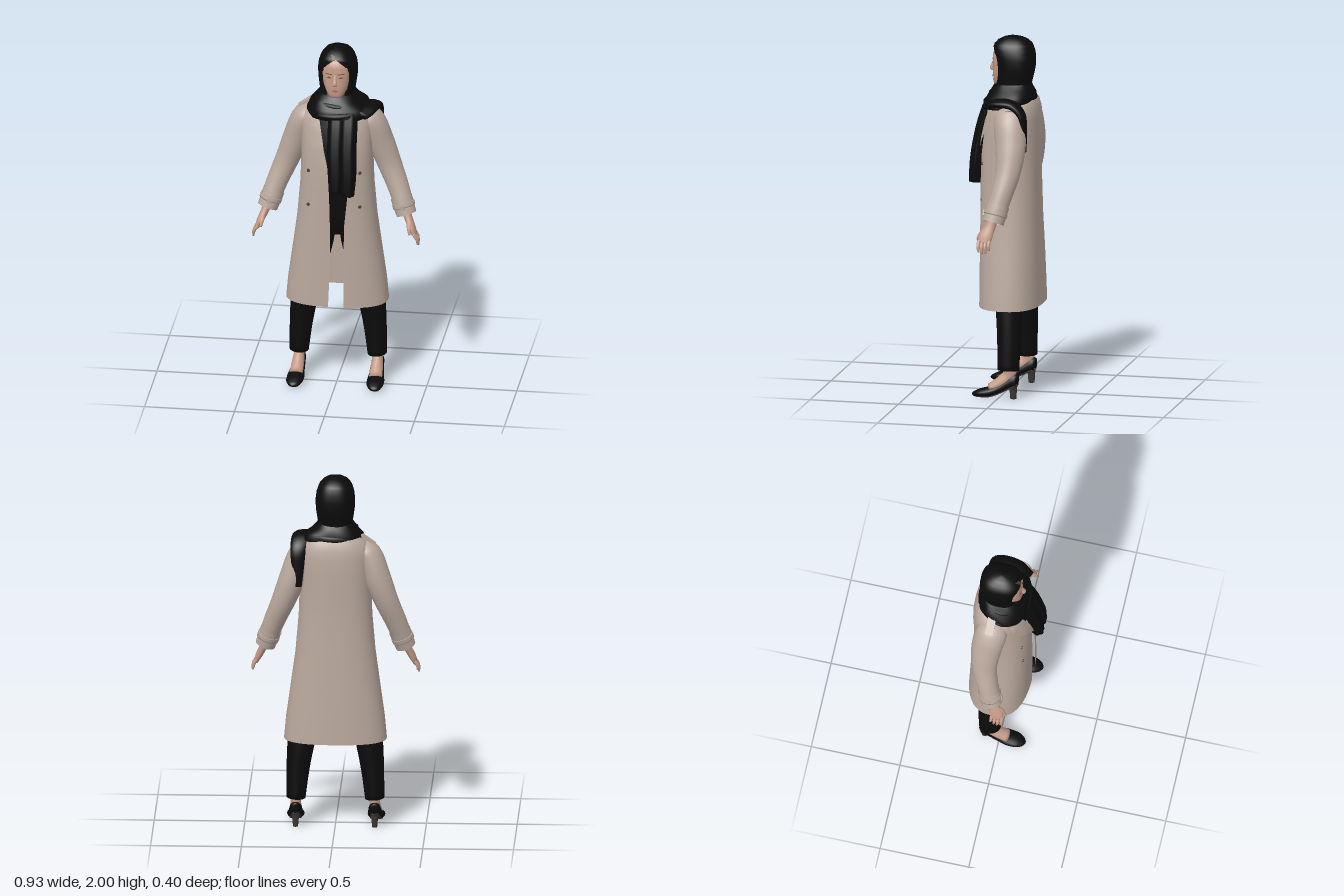
import * as THREE from 'three';
import { mergeVertices } from 'three/addons/utils/BufferGeometryUtils.js';

const P = 0.8; // roundness of the boxy oval sections
const X = new THREE.Vector3(1, 0, 0), Y = new THREE.Vector3(0, 1, 0), Z = new THREE.Vector3(0, 0, 1);
const spow = (v, p) => Math.sign(v) * Math.pow(Math.abs(v), p);

function makeGeo(pos, idx) {
  let g = new THREE.BufferGeometry();
  g.setAttribute('position', new THREE.Float32BufferAttribute(pos, 3));
  g.setIndex(idx);
  g = mergeVertices(g, 1e-5);
  g.computeVertexNormals();
  return g;
}

// Upright shell from rows [y, halfWidth, zFront, zBack, leftEdgeX, rightEdgeX, centreX]; edges leave the front open
function shell(rows, { seg = 48, tilt = 0, fold = () => 1 } = {}) {
  const pos = [], idx = [];
  rows.forEach(([y, w, zf, zb, xl, xr, cx = 0]) => {
    const open = xl !== undefined;
    const a0 = open ? Math.asin(spow(xl / w, 1 / P)) : -Math.PI;
    const a1 = open ? 2 * Math.PI + Math.asin(spow(xr / w, 1 / P)) : Math.PI;
    for (let j = 0; j <= seg; j++) {
      const a = a0 + (a1 - a0) * j / seg, k = fold(a, y);
      const z = (zf + zb) / 2 + (zf - zb) / 2 * spow(Math.cos(a), P) * k;
      pos.push(cx + w * spow(Math.sin(a), P) * k, y + tilt * z, z);
    }
  });
  for (let i = 0; i < rows.length - 1; i++) for (let j = 0; j < seg; j++) {
    const a = i * (seg + 1) + j, c = a + seg + 1;
    idx.push(a, a + 1, c, a + 1, c + 1, c);
  }
  return makeGeo(pos, idx);
}

// Front surface depth of a shell at (x, y)
function frontZ(rows, x, y) {
  let i = 0;
  while (i < rows.length - 2 && rows[i + 1][0] < y) i++;
  const t = THREE.MathUtils.clamp((y - rows[i][0]) / (rows[i + 1][0] - rows[i][0]), 0, 1);
  const [w, zf, zb] = [1, 2, 3].map(k => THREE.MathUtils.lerp(rows[i][k], rows[i + 1][k], t));
  const s = Math.pow(Math.min(1, Math.abs(x) / w), 1 / P);
  return (zf + zb) / 2 + (zf - zb) / 2 * Math.pow(1 - s * s, P / 2);
}

// Four-cornered cloth patch laid on the front of a shell
function patch(rows, q, off = 0.006, n = 8) {
  const pos = [], idx = [], mix = THREE.MathUtils.lerp;
  for (let i = 0; i <= n; i++) for (let j = 0; j <= n; j++) {
    const [x, y] = [0, 1].map(k => mix(mix(q[0][k], q[1][k], i / n), mix(q[3][k], q[2][k], i / n), j / n));
    pos.push(x, y, frontZ(rows, x, y) + off);
    if (i < n && j < n) {
      const a = i * (n + 1) + j, c = a + n + 1;
      idx.push(a, c, a + 1, a + 1, c, c + 1);
    }
  }
  return makeGeo(pos, idx);
}

// Smooth limb through rows [x, y, z, radiusSide, radiusRef]
function loft(rows, { ref = Z, seg = 20, steps = 5, cap = true, fold = () => 1 } = {}) {
  const path = new THREE.CatmullRomCurve3(rows.map(r => new THREE.Vector3(r[0], r[1], r[2])));
  const rad = new THREE.CatmullRomCurve3(rows.map(r => new THREE.Vector3(r[3], r[4], 0)), false, 'catmullrom', 0.5);
  const n = (rows.length - 1) * steps, pos = [], idx = [];
  for (let i = 0; i <= n; i++) {
    const c = path.getPoint(i / n), r = rad.getPoint(i / n), t = path.getTangent(i / n);
    const s = new THREE.Vector3().crossVectors(t, ref).normalize(), f = new THREE.Vector3().crossVectors(s, t);
    for (let j = 0; j < seg; j++) {
      const a = j / seg * Math.PI * 2, k = fold(a);
      const p = c.clone().addScaledVector(s, r.x * k * Math.cos(a)).addScaledVector(f, r.y * k * Math.sin(a));
      pos.push(p.x, p.y, p.z);
      const j2 = (j + 1) % seg, A = i * seg;
      if (i < n) idx.push(A + j, A + seg + j, A + j2, A + j2, A + seg + j, A + seg + j2);
    }
  }
  if (cap) for (const [i, flip] of [[0, 0], [n, 1]]) {
    const c = path.getPoint(i / n), m = pos.length / 3, A = i * seg;
    pos.push(c.x, c.y, c.z);
    for (let j = 0; j < seg; j++) {
      const a = A + j, b = A + (j + 1) % seg;
      if (flip) idx.push(m, b, a); else idx.push(m, a, b);
    }
  }
  return makeGeo(pos, idx);
}

export function createModel() {
  const model = new THREE.Group();
  const mat = (name, color, side = THREE.FrontSide) =>
    Object.assign(new THREE.MeshStandardMaterial({ color, side }), { name });
  const coat = mat('coat beige', 0xb9a89d, THREE.DoubleSide), black = mat('black cloth', 0x0b0b0b, THREE.DoubleSide);
  const skin = mat('skin', 0xc39a86), sole = mat('sole grey', 0x3b3635), button = mat('button brown', 0x4a403a);
  const brow = mat('brow brown', 0x7d5a4d, THREE.DoubleSide), lip = mat('lip rose', 0xa8746a, THREE.DoubleSide);
  const hair = mat('hair grey', 0x453f3c, THREE.DoubleSide);
  const add = (name, geo, m) => {
    const o = new THREE.Mesh(geo, m);
    o.name = name;
    model.add(o);
    return o;
  };

  // Long open coat
  const coatRows = [
    [0.50, 0.283, 0.14, -0.203, 0.057, -0.03], [0.62, 0.272, 0.14, -0.2, 0.057, -0.025],
    [0.80, 0.247, 0.14, -0.195, 0.055, -0.02], [1.0, 0.22, 0.14, -0.187, 0.06, -0.02],
    [1.2, 0.203, 0.14, -0.183, 0.08, -0.025], [1.34, 0.198, 0.138, -0.183, 0.1, -0.035],
    [1.45, 0.198, 0.125, -0.187, 0.11, -0.06], [1.55, 0.2, 0.1, -0.185, 0.11, -0.085],
    [1.60, 0.195, 0.08, -0.178, 0.11, -0.09], [1.64, 0.17, 0.062, -0.168, 0.1, -0.085],
    [1.67, 0.135, 0.045, -0.15, 0.08, -0.07], [1.69, 0.09, 0.03, -0.125, 0.05, -0.05]];
  add('coat', shell(coatRows, { seg: 64 }), coat);
  add('rightLapel', patch(coatRows, [[-0.09, 1.63], [-0.172, 1.525], [-0.04, 1.33], [-0.06, 1.48]], 0.016), coat);
  add('leftLapel', patch(coatRows, [[0.11, 1.63], [0.18, 1.54], [0.105, 1.35], [0.1, 1.5]], 0.016), coat);
  for (const s of [1, -1]) {
    add('collar', patch(coatRows, [[s * 0.08, 1.665], [s * 0.165, 1.615], [s * 0.17, 1.565], [s * 0.09, 1.615]], 0.022), coat);
    add('pocketWelt', patch(coatRows, [[s * 0.155, 1.12], [s * 0.17, 1.12], [s * 0.185, 0.98], [s * 0.17, 0.98]], 0.007), coat);
    for (const y of [1.1, 1.3]) {
      const b = add('coatButton', new THREE.CylinderGeometry(0.009, 0.009, 0.008, 14), button);
      b.rotation.x = Math.PI / 2;
      b.position.set(s * 0.143, y, frontZ(coatRows, 0.143, y) + 0.002);
    }
  }

  // Dark clothes under the coat
  add('innerTop', shell([[0.9, 0.13, 0.05, -0.1], [0.96, 0.17, 0.075, -0.125], [1.05, 0.175, 0.085, -0.13],
    [1.2, 0.15, 0.09, -0.12], [1.4, 0.165, 0.105, -0.13], [1.55, 0.15, 0.075, -0.13], [1.66, 0.08, 0.04, -0.1]]), black);

  for (const s of [1, -1]) {
    const side = s > 0 ? 'left' : 'right';
    const limb = (name, rows, m, opt) => add(side + name, loft(rows.map(([x, ...r]) => [s * x, ...r]), opt), m);

    // Sleeve, cuff and shoulder strap
    limb('Sleeve', [[0.13, 1.6, -0.05, 0.05, 0.07], [0.182, 1.56, -0.055, 0.07, 0.088], [0.235, 1.42, -0.072, 0.074, 0.084],
      [0.285, 1.29, -0.07, 0.066, 0.07], [0.335, 1.17, -0.045, 0.059, 0.06], [0.378, 1.05, -0.012, 0.053, 0.056]], coat, { seg: 28 });
    limb('Cuff', [[0.353, 1.115, -0.03, 0.06, 0.063], [0.386, 1.022, -0.008, 0.056, 0.06]], coat, { seg: 28, cap: false });
    limb('CuffStrap', [[0.365, 1.084, -0.022, 0.063, 0.066], [0.373, 1.06, -0.017, 0.062, 0.065]], coat, { seg: 28 });
    const buckle = add(side + 'CuffBuckle', new THREE.BoxGeometry(0.022, 0.03, 0.008), coat);
    buckle.position.set(s * 0.372, 1.075, 0.046);
    buckle.rotation.z = s * 0.35;
    const strap = add(side + 'ShoulderStrap', new THREE.BoxGeometry(0.1, 0.012, 0.045), coat);
    strap.position.set(s * 0.18, 1.645, -0.06);
    strap.rotation.z = -s * 0.62;

    // Hand
    limb('Palm', [[0.382, 1.045, -0.01, 0.026, 0.028], [0.4, 1.0, 0.005, 0.022, 0.03], [0.423, 0.95, 0.025, 0.019, 0.039],
      [0.438, 0.915, 0.033, 0.013, 0.034]], skin);
    for (let i = 0; i < 4; i++) {
      const z = 0.06 - i * 0.019, len = [0.9, 1, 0.95, 0.75][i];
      limb('Finger', [[0.433, 0.93, z, 0.01, 0.01], [0.433 + 0.022 * len, 0.93 - 0.035 * len, z, 0.009, 0.0095],
        [0.433 + 0.026 * len, 0.93 - 0.068 * len, z - 0.004, 0.005, 0.006]], skin, { seg: 10 });
    }
    limb('Thumb', [[0.402, 0.995, 0.02, 0.012, 0.013], [0.408, 0.965, 0.055, 0.012, 0.012], [0.413, 0.93, 0.074, 0.006, 0.007]], skin, { seg: 10 });

    // Trouser leg
    limb('TrouserLeg', [[0.09, 1.0, -0.03, 0.085, 0.1], [0.12, 0.85, -0.03, 0.1, 0.1], [0.16, 0.65, -0.04, 0.088, 0.085],
      [0.185, 0.5, -0.052, 0.077, 0.074], [0.205, 0.33, -0.056, 0.064, 0.065], [0.217, 0.16, -0.055, 0.053, 0.061]], black, { seg: 28 });

    // Foot and heeled shoe
    limb('Foot', [[0.218, 0.22, -0.06, 0.032, 0.036], [0.218, 0.135, -0.062, 0.029, 0.037], [0.219, 0.092, -0.025, 0.034, 0.04],
      [0.221, 0.055, 0.045, 0.037, 0.027]], skin);
    const shoe = [[0.218, 0.105, -0.112, 0.014, 0.025], [0.218, 0.106, -0.097, 0.032, 0.038], [0.218, 0.083, -0.05, 0.037, 0.033],
      [0.22, 0.054, 0, 0.041, 0.029], [0.222, 0.036, 0.05, 0.048, 0.028], [0.224, 0.028, 0.1, 0.044, 0.022],
      [0.225, 0.021, 0.133, 0.028, 0.014], [0.225, 0.018, 0.147, 0.008, 0.005]];
    limb('Shoe', shoe, black, { ref: Y });
    limb('Sole', shoe.map(([x, y, z, a, b]) => [x, y - b * 0.85, z * 0.97, a * 0.75, b * 0.22]), sole, { ref: Y });
    limb('Heel', [[0.218, 0.09, -0.08, 0.029, 0.029], [0.218, 0.05, -0.083, 0.019, 0.021], [0.218, 0, -0.084, 0.014, 0.017]], sole);
  }

  // Face
  const head = [[1.715, 0.015, 0.055, 0], [1.727, 0.038, 0.073, -0.02], [1.745, 0.05, 0.079, -0.04], [1.77, 0.062, 0.078, -0.06],
    [1.8, 0.073, 0.08, -0.08], [1.85, 0.082, 0.077, -0.1], [1.9, 0.081, 0.078, -0.1], [1.935, 0.065, 0.067, -0.09], [1.965, 0.03, 0.03, -0.06]];
  add('face', shell(head), skin);
  add('nose', loft([[0, 1.868, 0.07, 0.007, 0.006], [0, 1.835, 0.082, 0.01, 0.009], [0, 1.812, 0.089, 0.014, 0.011],
    [0, 1.802, 0.079, 0.013, 0.006]], { seg: 14 }), skin);
  add('mouth', patch(head, [[-0.023, 1.77], [0, 1.779], [0.023, 1.77], [0, 1.76]], 0.004), lip);
  for (const s of [1, -1]) {
    add('eyebrow', patch(head, [[s * 0.015, 1.872], [s * 0.015, 1.867], [s * 0.055, 1.868], [s * 0.05, 1.874]], 0.003), brow);
    add('eye', patch(head, [[s * 0.018, 1.848], [s * 0.033, 1.843], [s * 0.05, 1.849], [s * 0.033, 1.855]], 0.003), brow);
  }

  // Headscarf with a pointed face opening
  const hood = [[1.64, 0.1, 0.07, -0.13, 0, 0], [1.69, 0.09, 0.07, -0.125, 0.02, -0.02], [1.73, 0.094, 0.06, -0.132, 0.048, -0.048],
    [1.77, 0.1, 0.055, -0.142, 0.063, -0.063], [1.82, 0.107, 0.055, -0.153, 0.073, -0.073], [1.87, 0.109, 0.06, -0.156, 0.073, -0.073],
    [1.91, 0.104, 0.07, -0.153, 0.054, -0.054], [1.94, 0.094, 0.075, -0.145, 0.022, -0.022], [1.955, 0.086, 0.069, -0.138, 0, 0],
    [1.975, 0.069, 0.049, -0.119, 0, 0], [1.99, 0.045, 0.019, -0.089, 0, 0], [1.998, 0.02, -0.01, -0.058, 0, 0], [2.0, 0.003, -0.031, -0.037, 0, 0]];
  add('headscarf', shell(hood), black);
  add('hairGap', patch(hood, [[-0.028, 1.978], [-0.004, 1.97], [0.002, 1.947], [-0.014, 1.95]], 0.003), hair);

  // Scarf gathered around the neck
  const ripple = (a, y) => 1 + 0.02 * Math.sin(5 * a + y * 70);
  add('neckWrap', shell([[1.6, 0.14, 0.09, -0.12, 0, 0, 0.01], [1.615, 0.168, 0.117, -0.145, 0, 0, 0.015], [1.64, 0.178, 0.122, -0.157, 0, 0, 0.015],
    [1.67, 0.16, 0.112, -0.153, 0, 0, 0.01], [1.7, 0.125, 0.092, -0.14, 0, 0, 0], [1.73, 0.1, 0.072, -0.128, 0, 0, 0],
    [1.745, 0.08, 0.05, -0.115, 0, 0, 0]], { seg: 72, tilt: -0.1, fold: ripple }), black);
  [[1.645, 0.155, 0.13, 0.022], [1.69, 0.118, 0.105, 0.018]].forEach(([y, rx, rz, r], i) => {
    const ring = add('neckFold', new THREE.TorusGeometry(1, r / rx, 10, 48), black);
    ring.scale.set(rx, rz, rx * 0.9);
    ring.rotation.set(Math.PI / 2 + 0.12, i ? -0.08 : 0.06, 0);
    ring.position.set(0.008, y, -0.018);
  });

  // Scarf end thrown over the left shoulder
  add('shoulderDrape', loft([[0.13, 1.635, 0.075, 0.02, 0.06], [0.165, 1.65, 0.01, 0.025, 0.065], [0.185, 1.645, -0.07, 0.025, 0.058],
    [0.2, 1.595, -0.125, 0.022, 0.045], [0.203, 1.5, -0.138, 0.018, 0.034], [0.2, 1.39, -0.143, 0.01, 0.018]], { ref: X }), black);

  // Two hanging scarf strands at the front
  const pleat = a => 1 + 0.07 * Math.cos(6 * a);
  for (const [x, end] of [[0.012, 1.2], [0.08, 1.185]]) {
    add('frontStrand', loft([[x, 1.64, 0.08, 0.045, 0.03], [x, 1.54, 0.11, 0.045, 0.036], [x, 1.42, 0.138, 0.044, 0.037],
      [x + 0.004, 1.3, 0.155, 0.042, 0.037], [x + 0.002, end, 0.164, 0.034, 0.034]], { seg: 36, fold: pleat }), black);
  }
  return model;
}
